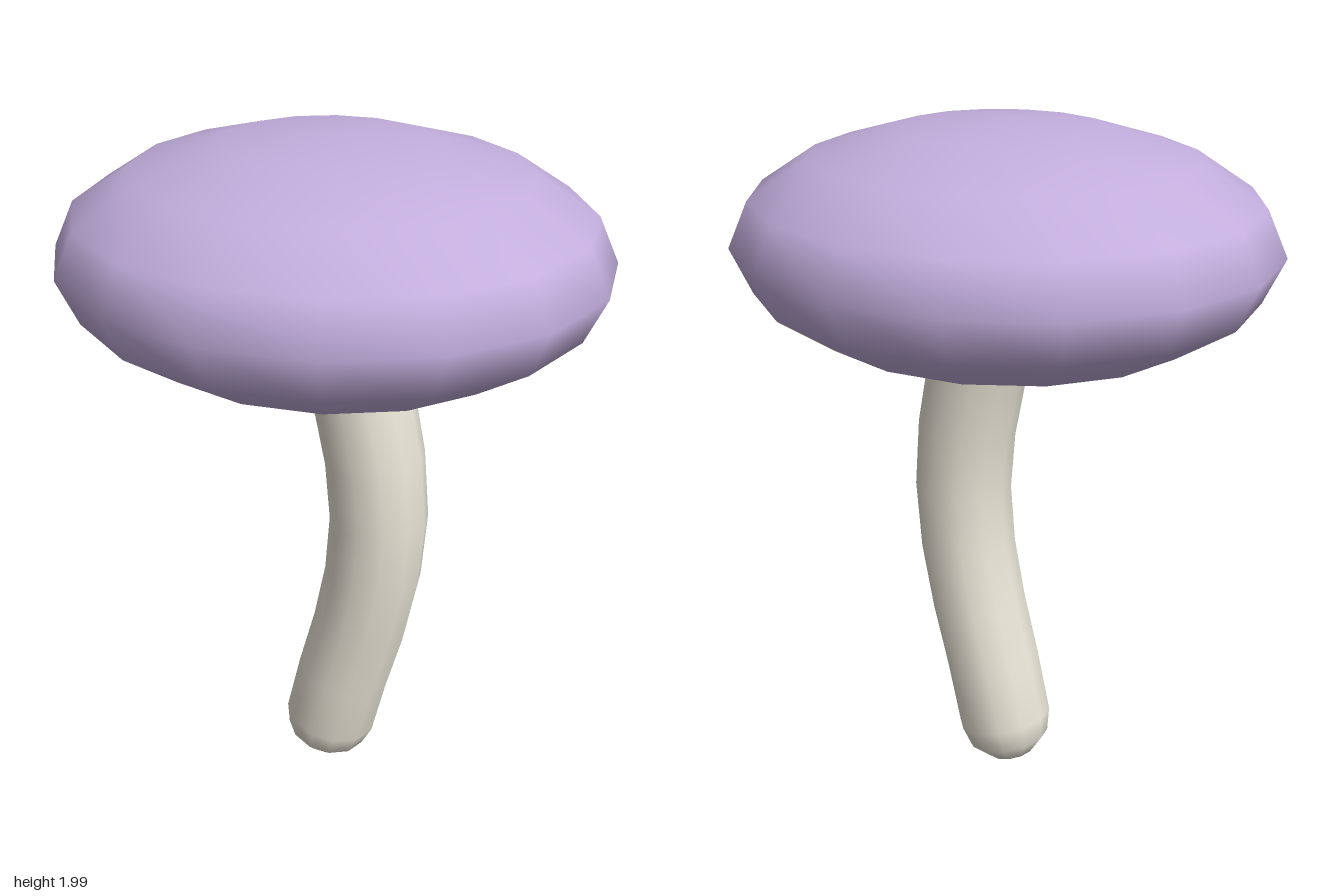
import * as THREE from 'three';
import { mergeVertices } from 'three/addons/utils/BufferGeometryUtils.js';

// Capsule whose straight body follows a curve lying in the xy plane
function bentCapsule(curve, radius, capSegments, sides, steps) {
  const geo = new THREE.CapsuleGeometry(radius, 1, capSegments, sides, steps);
  const pos = geo.attributes.position;
  for (let i = 0; i < pos.count; i++) {
    const x = pos.getX(i), y = pos.getY(i);
    const body = THREE.MathUtils.clamp(y, -0.5, 0.5);
    const centre = curve.getPoint(body + 0.5);
    const t = curve.getTangent(body + 0.5);
    const along = y - body; // distance into a rounded end
    pos.setX(i, centre.x + x * t.y + along * t.x);
    pos.setY(i, centre.y - x * t.x + along * t.y);
  }
  // weld the seam so the normals stay smooth all round
  geo.deleteAttribute('uv');
  geo.deleteAttribute('normal');
  const welded = mergeVertices(geo, 1e-4);
  welded.computeVertexNormals();
  return welded;
}

export function createModel() {
  const model = new THREE.Group();
  model.name = 'mushroom';

  // cap: flattened low-segment sphere, slightly wider than deep
  const cap = new THREE.Mesh(
    new THREE.SphereGeometry(1, 16, 8),
    new THREE.MeshStandardMaterial({ color: 0xc3aedd })
  );
  cap.name = 'cap';
  cap.scale.set(0.762, 0.325, 0.71);
  cap.position.y = 1.675;
  model.add(cap);

  // stem: bows towards +x, its top hidden inside the cap
  const bow = [0, 0.045, 0.097, 0.136, 0.152, 0.136, 0.097, 0.045, 0];
  const path = new THREE.CatmullRomCurve3(
    bow.map((x, i) => new THREE.Vector3(x, 0.15 + i * 0.1885, 0)),
    false, 'catmullrom', 0.5
  );
  const stem = new THREE.Mesh(
    bentCapsule(path, 0.143, 3, 12, 8),
    new THREE.MeshStandardMaterial({ color: 0xe8e4d6 })
  );
  stem.name = 'stem';
  model.add(stem);

  return model;
}
